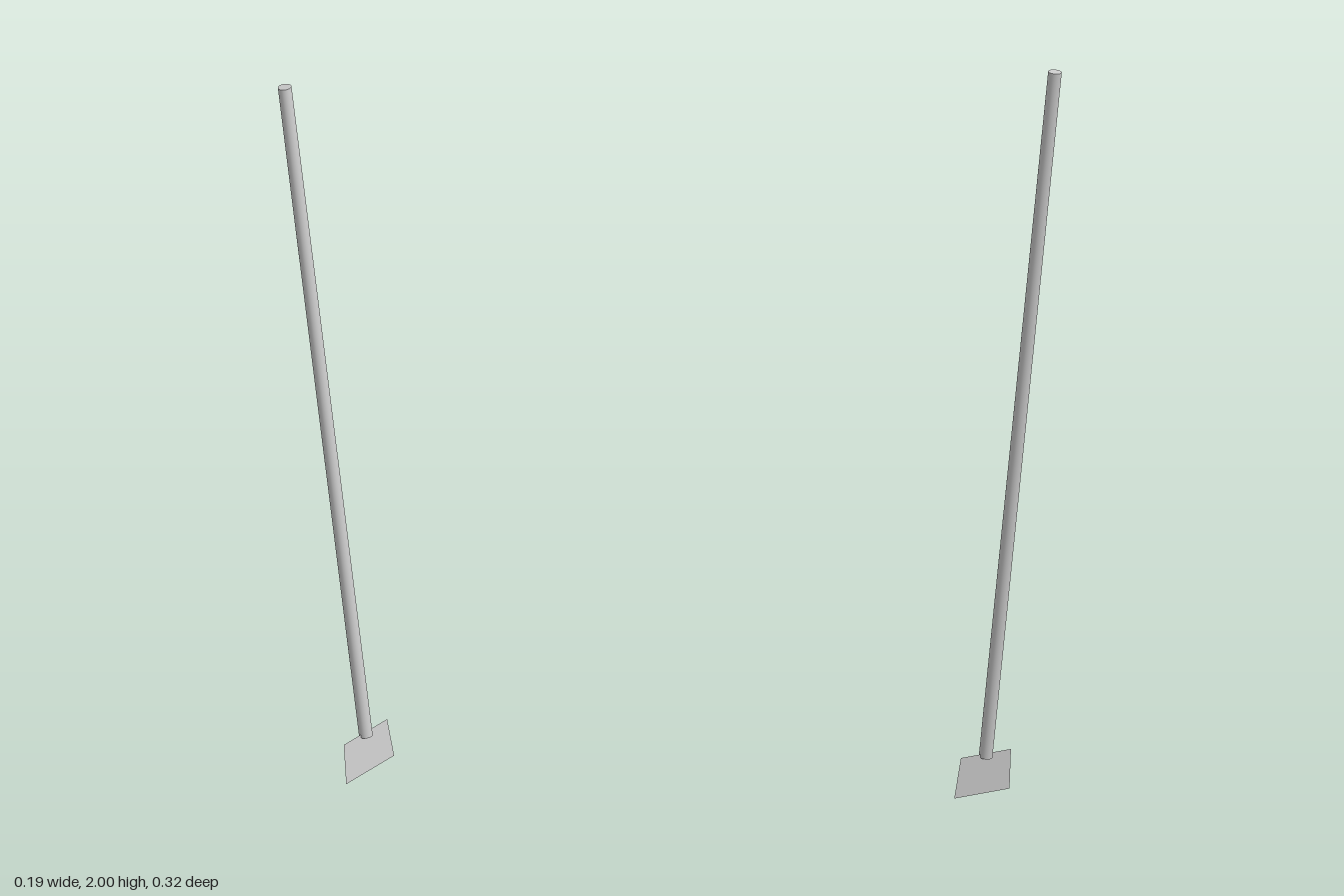
import * as THREE from 'three';

export function createModel() {
  const model = new THREE.Group();
  model.name = 'longHandledScraper';

  // The whole tool leans back from the blade's lower edge
  const tool = new THREE.Group();
  tool.name = 'leaningTool';
  tool.position.z = 0.157;
  tool.rotation.x = -Math.atan(0.1515);
  model.add(tool);

  // Long round handle
  const start = 0.102, end = 2.02, radius = 0.018;
  const handle = new THREE.Mesh(
    new THREE.CylinderGeometry(radius, radius, end - start, 24),
    new THREE.MeshStandardMaterial({ color: 0xcccccc })
  );
  handle.name = 'handle';
  handle.position.y = (start + end) / 2;
  tool.add(handle);

  // Thin sheet blade, wider at its cutting edge
  const outline = new THREE.Shape([
    new THREE.Vector2(-0.094, 0),
    new THREE.Vector2(0.094, 0),
    new THREE.Vector2(0.085, 0.112),
    new THREE.Vector2(-0.085, 0.112),
  ]);
  const blade = new THREE.Mesh(
    new THREE.ShapeGeometry(outline),
    new THREE.MeshStandardMaterial({ color: 0xcccccc, side: THREE.DoubleSide })
  );
  blade.name = 'blade';
  tool.add(blade);

  return model;
}
